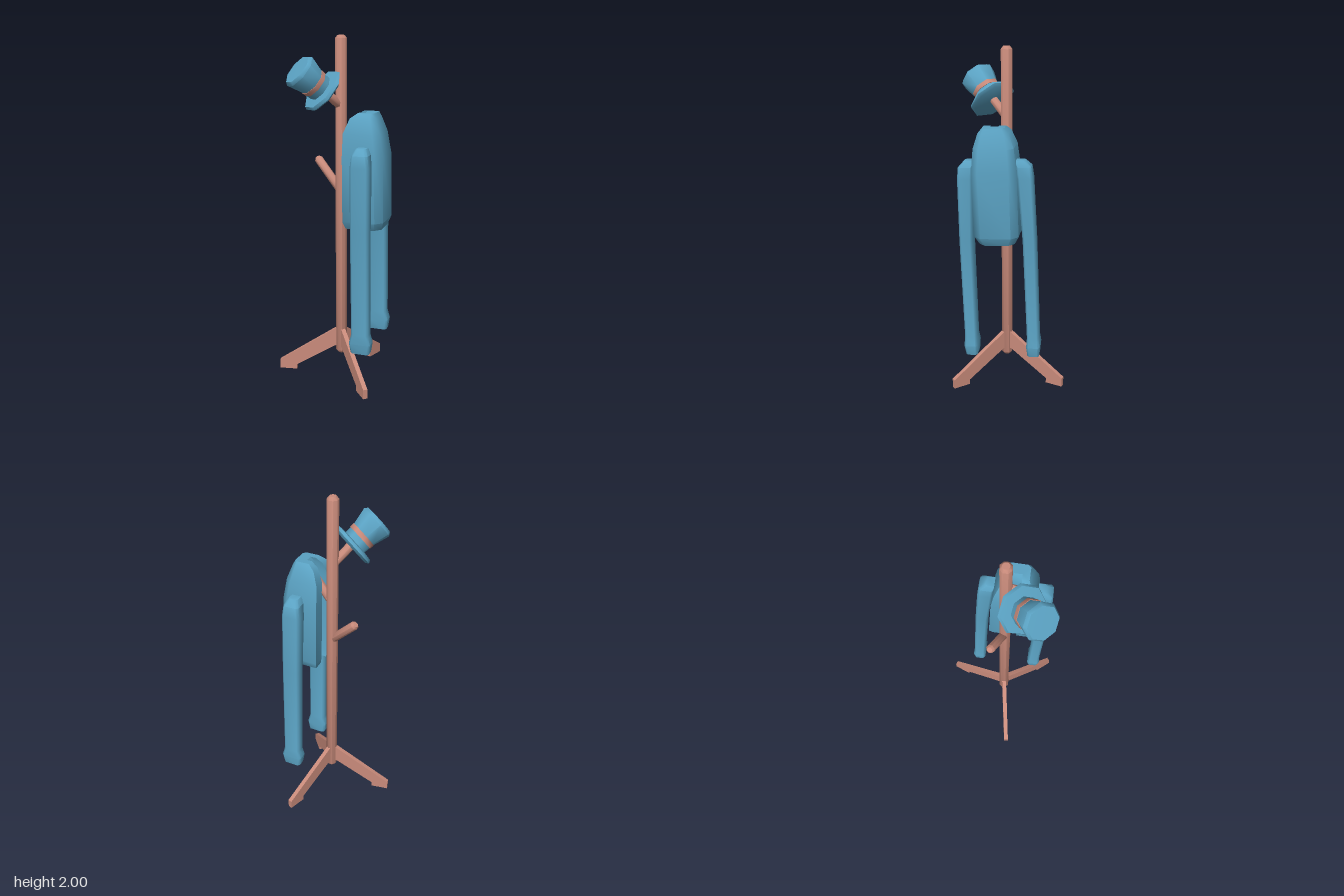
import * as THREE from 'three';
import { toCreasedNormals } from 'three/addons/utils/BufferGeometryUtils.js';

const wood = new THREE.MeshStandardMaterial({ color: 0xc98b7b });
const cloth = new THREE.MeshStandardMaterial({ color: 0x5ba3c4 });

function part(name, geometry, material, crease = 0.85) {
  const mesh = new THREE.Mesh(toCreasedNormals(geometry, crease), material);
  mesh.name = name;
  return mesh;
}

function lathe(profile) {
  return new THREE.LatheGeometry(profile.map(([r, y]) => new THREE.Vector2(r, y)), 8);
}

// Turns an object's y axis towards a direction
function aim(object, dir) {
  object.quaternion.setFromUnitVectors(new THREE.Vector3(0, 1, 0), dir.clone().normalize());
}

// Round bar with softened ends
function bar(name, from, to, r) {
  const a = new THREE.Vector3(...from);
  const d = new THREE.Vector3(...to).sub(a);
  const h = d.length();
  const mesh = part(name, lathe([
    [0, 0], [r * 0.6, 0], [r, r * 0.5], [r, h - r * 0.5], [r * 0.6, h], [0, h],
  ]), wood);
  mesh.position.copy(a);
  aim(mesh, d);
  return mesh;
}

// Closed skin over stacked rings; each ring is { y, pts: [[x, z], ...] }
function loft(rings) {
  const n = rings[0].pts.length;
  const pos = rings.flatMap(({ y, pts }) => pts.flatMap(([x, z]) => [x, y, z]));
  const index = [];
  for (let k = 0; k < rings.length - 1; k++) {
    for (let i = 0; i < n; i++) {
      const a = k * n + i, b = k * n + (i + 1) % n;
      index.push(a, b, a + n, b, b + n, a + n);
    }
  }
  const caps = (pts) => THREE.ShapeUtils.triangulateShape(pts.map((p) => new THREE.Vector2(...p)), []);
  const top = (rings.length - 1) * n;
  for (const [a, b, c] of caps(rings[0].pts)) index.push(a, b, c);
  for (const [a, b, c] of caps(rings.at(-1).pts)) index.push(top + a, top + c, top + b);
  const g = new THREE.BufferGeometry();
  g.setAttribute('position', new THREE.Float32BufferAttribute(pos, 3));
  g.setIndex(index);
  return g;
}

function makeStand() {
  const stand = new THREE.Group();
  stand.name = 'stand';
  stand.position.z = 0.025;

  stand.add(bar('pole', [0, 0.13, 0], [0, 2, 0], 0.033));

  // Three splayed legs with flat feet
  const shape = new THREE.Shape([
    [0, 0.295], [0.03, 0.285], [0.38, 0.055], [0.38, 0], [0.275, 0], [0.275, 0.03], [0.04, 0.17], [0, 0.18],
  ].map((p) => new THREE.Vector2(...p)));
  for (let i = 0; i < 3; i++) {
    const g = new THREE.ExtrudeGeometry(shape, { depth: 0.026, bevelEnabled: false });
    g.translate(0, 0, -0.013);
    const leg = part('leg', g, wood, 0.3);
    leg.rotation.y = Math.PI / 2 + i * Math.PI * 2 / 3;
    stand.add(leg);
  }

  stand.add(bar('lowerHook', [0, 1.125, 0], [-0.18, 1.305, 0], 0.025));
  stand.add(bar('jacketHook', [0, 1.37, 0], [0.14, 1.51, -0.015], 0.025));
  stand.add(bar('hatHook', [0, 1.61, 0], [-0.045, 1.72, 0.13], 0.025));
  return stand;
}

function makeHat() {
  const hat = new THREE.Group();
  hat.name = 'hat';
  hat.add(part('brim', lathe([
    [0, -0.015], [0.12, -0.017], [0.138, -0.004], [0.13, 0.013], [0.07, 0.018], [0, 0.018],
  ]), cloth));
  hat.add(part('crown', lathe([
    [0, 0.01], [0.076, 0.01], [0.08, 0.08], [0.103, 0.172], [0.09, 0.19], [0, 0.192],
  ]), cloth));
  hat.add(part('hatBand', lathe([[0.074, 0.053], [0.081, 0.053], [0.083, 0.08], [0.074, 0.08]]), wood));
  hat.position.set(-0.04, 1.7, 0.138);
  aim(hat, new THREE.Vector3(-0.32, 0.615, 0.72));
  return hat;
}

function makeJacket() {
  const jacket = new THREE.Group();
  jacket.name = 'jacket';

  // Body, open down the side that faces the pole: [y, centre, half depth, half width]
  const body = [
    [0.94, 0, 0.1, 0.1], [0.985, 0.003, 0.113, 0.125], [1.35, 0.003, 0.112, 0.125],
    [1.48, -0.006, 0.1, 0.112], [1.56, -0.004, 0.07, 0.085], [1.588, 0.01, 0.045, 0.062],
  ].map(([y, m, u, v]) => {
    const c = u * 0.35, g = v * 0.37, inner = m - u * 0.3;
    return { y, pts: [
      [m - u, g], [m - u, v], [m + u - c, v], [m + u, v - c],
      [m + u, c - v], [m + u - c, -v], [m - u, -v], [m - u, -g], [inner, -g], [inner, g],
    ] };
  });
  jacket.add(part('jacketBody', loft(body), cloth, 0.8));

  // Hanging sleeves with flared cuffs: [y, outward offset, half depth, half width]
  for (const side of [1, -1]) {
    const sleeve = [
      [0.235, 0.183, 0.054, 0.034], [0.295, 0.184, 0.063, 0.04], [0.35, 0.184, 0.05, 0.035],
      [0.95, 0.18, 0.052, 0.037], [1.31, 0.167, 0.053, 0.042], [1.375, 0.16, 0.046, 0.042],
      [1.41, 0.135, 0.028, 0.034],
    ].map(([y, off, u, v]) => {
      const c = 0.012, z = side * off, m = 0.013;
      return { y, pts: [
        [m - u, z + c - v], [m - u, z + v - c], [m + c - u, z + v], [m + u - c, z + v],
        [m + u, z + v - c], [m + u, z + c - v], [m + u - c, z - v], [m + c - u, z - v],
      ] };
    });
    jacket.add(part(side > 0 ? 'frontSleeve' : 'backSleeve', loft(sleeve), cloth));
  }

  // Turned on its hook and leaning slightly
  jacket.rotation.set(0.036, 0.35, 0, 'YXZ');
  jacket.position.set(0.154, 0, -0.044);
  return jacket;
}

export function createModel() {
  const model = new THREE.Group();
  model.name = 'coatStand';
  model.add(makeStand(), makeHat(), makeJacket());
  return model;
}
